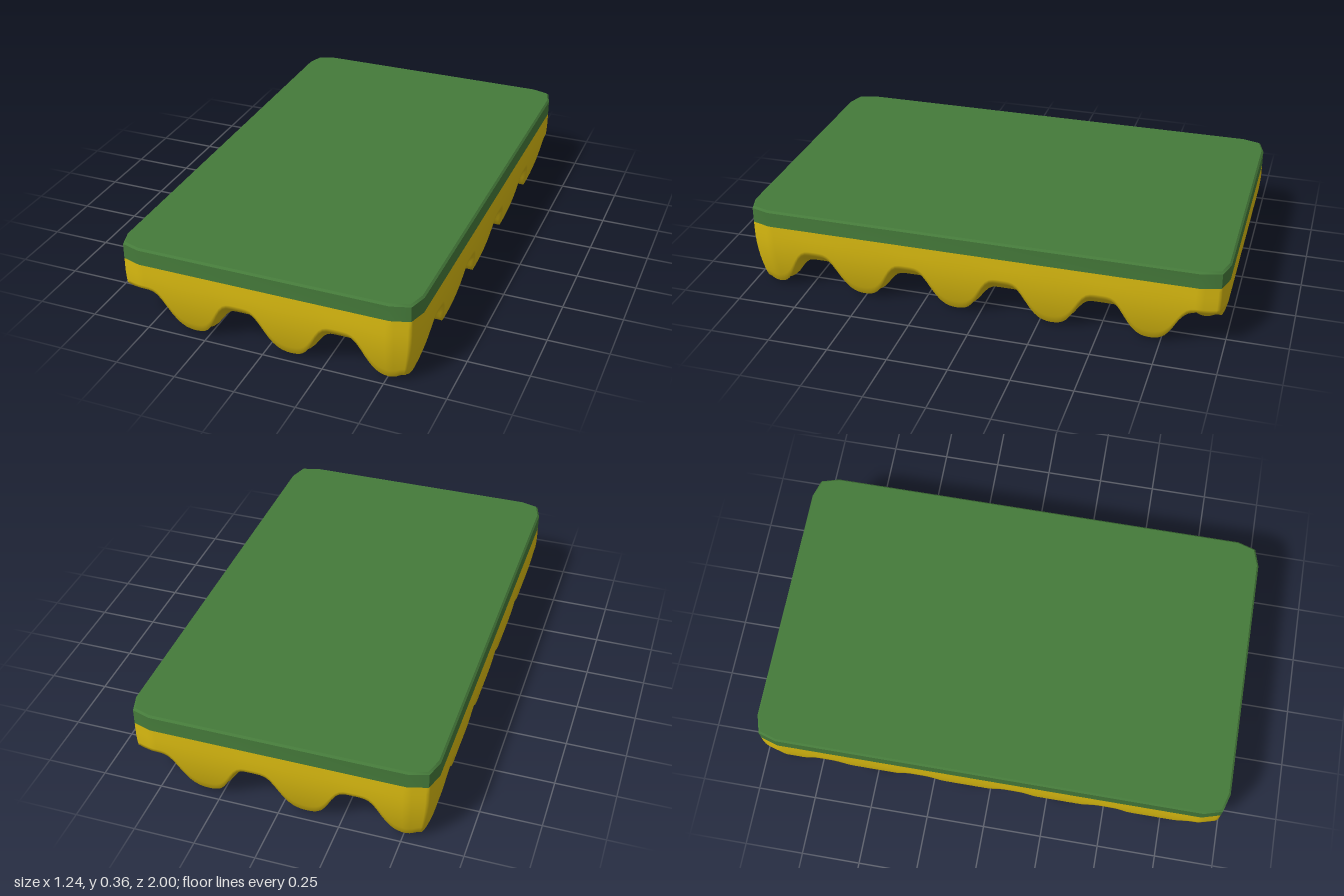
import * as THREE from 'three';
import { toCreasedNormals } from 'three/addons/utils/BufferGeometryUtils.js';

const HX = 0.62, HZ = 1, CORNER = 0.1;   // half sizes and corner cut
const SEAM = 0.29, TOP = 0.362;
const GROUND = 0.05, RIM = 0.18;         // underside height in the middle and at the rim

// Pegs stand on every other cell of a 6 by 10 grid
const pegs = [];
for (let i = 0; i < 6; i++) {
  for (let j = 0; j < 10; j++) {
    if ((i + j) % 2 === 0) pegs.push([(i - 2.5) * 0.207, (j - 4.5) * 0.202]);
  }
}

// Height of the underside: low ground rising to the rim, with pegs reaching the floor
function underside(x, z) {
  const near = (d) => Math.max(0, 1 - d / 0.25) ** 2;
  const rise = 1 - (1 - near(HX - Math.abs(x))) * (1 - near(HZ - Math.abs(z)));
  const cx = THREE.MathUtils.clamp(x, -0.57, 0.57);
  const cz = THREE.MathUtils.clamp(z, -0.96, 0.96);
  const radius = 0.09 + 0.03 * rise;
  let sum = 0;
  for (const [px, pz] of pegs) sum += Math.exp(-((Math.hypot(cx - px, cz - pz) / radius) ** 4));
  return (GROUND + (RIM - GROUND) * rise) * (1 - Math.min(1, sum));
}

// Squeezes the corners of the rectangle into the cut-corner outline
function outline(x, z) {
  const a = Math.abs(x) - (HX - CORNER), b = Math.abs(z) - (HZ - CORNER);
  if (a <= 0 || b <= 0) return [x, z];
  const k = Math.max(a, b) / Math.max(a + 0.3 * b, b + 0.3 * a);
  return [Math.sign(x) * (HX - CORNER + a * k), Math.sign(z) * (HZ - CORNER + b * k)];
}

// Draws the sides in towards the floor
function taper(x, y, z) {
  const d = 0.046 * Math.max(0, 1 - y / 0.25) ** 2;
  return [
    x - Math.sign(x) * d * (Math.abs(x) / HX) ** 8,
    y,
    z - Math.sign(z) * d * (Math.abs(z) / HZ) ** 12,
  ];
}

function spongeGeometry() {
  const nx = 74, nz = 120, rings = 8;
  const pos = [], index = [], base = [];
  const id = (i, j) => j * (nx + 1) + i;

  // underside grid
  for (let j = 0; j <= nz; j++) {
    for (let i = 0; i <= nx; i++) {
      const [x, z] = outline((i / nx * 2 - 1) * HX, (j / nz * 2 - 1) * HZ);
      const y = underside(x, z);
      base.push([x, y, z]);
      pos.push(...taper(x, y, z));
      if (i < nx && j < nz) {
        const a = id(i, j), b = id(i + 1, j), c = id(i + 1, j + 1), d = id(i, j + 1);
        index.push(a, b, c, a, c, d);
      }
    }
  }

  // side walls rising from the rim to the seam
  const rim = [];
  for (let i = 0; i < nx; i++) rim.push(id(i, 0));
  for (let j = 0; j < nz; j++) rim.push(id(nx, j));
  for (let i = nx; i > 0; i--) rim.push(id(i, nz));
  for (let j = nz; j > 0; j--) rim.push(id(0, j));
  let lower = rim;
  for (let r = 1; r <= rings; r++) {
    const upper = rim.map((v) => {
      const [x, y, z] = base[v];
      pos.push(...taper(x, y + (SEAM - y) * r / rings, z));
      return pos.length / 3 - 1;
    });
    for (let k = 0; k < rim.length; k++) {
      const n = (k + 1) % rim.length;
      index.push(lower[k], upper[k], lower[n], lower[n], upper[k], upper[n]);
    }
    lower = upper;
  }

  const g = new THREE.BufferGeometry();
  g.setAttribute('position', new THREE.Float32BufferAttribute(pos, 3));
  g.setIndex(index);
  g.computeVertexNormals();
  return g;
}

function padGeometry() {
  const m = CORNER * (1 - 1 / 1.3);   // corner point of the outline
  const quarter = [[HX, HZ - CORNER], [HX - m, HZ - m], [HX - CORNER, HZ]];
  const points = [];
  for (const [sx, sy] of [[1, 1], [-1, 1], [-1, -1], [1, -1]]) {
    const q = quarter.map(([x, y]) => new THREE.Vector2(x * sx, y * sy));
    points.push(...(sx * sy > 0 ? q : q.reverse()));
  }
  const bevel = 0.008;
  const g = new THREE.ExtrudeGeometry(new THREE.Shape(points), {
    depth: TOP - SEAM - bevel, bevelEnabled: true, bevelThickness: bevel,
    bevelSize: bevel, bevelOffset: -bevel, bevelSegments: 1,
  });
  g.rotateX(-Math.PI / 2).translate(0, SEAM, 0);
  return toCreasedNormals(g, 0.75);
}

export function createModel() {
  const yellow = new THREE.MeshStandardMaterial({ color: 0xd9ba10 });
  yellow.name = 'yellow foam';
  const green = new THREE.MeshStandardMaterial({ color: 0x457a3a });
  green.name = 'green scourer';

  const foam = new THREE.Mesh(spongeGeometry(), yellow);
  foam.name = 'dimpledFoam';
  const pad = new THREE.Mesh(padGeometry(), green);
  pad.name = 'scouringPad';

  const group = new THREE.Group();
  group.name = 'sponge';
  group.add(foam, pad);
  return group;
}
